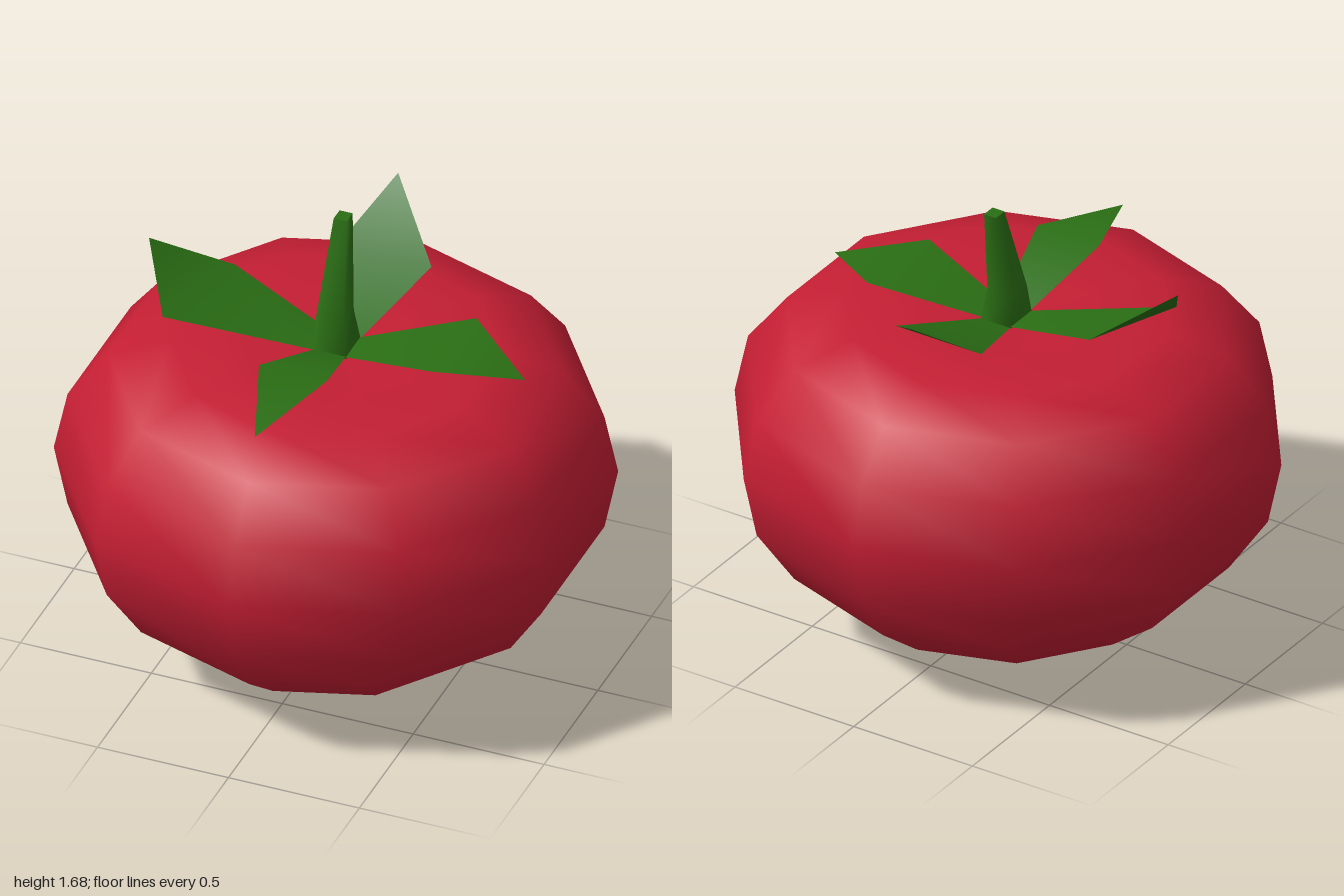
import * as THREE from 'three';

const red = new THREE.MeshStandardMaterial({ color: 0xc41e33 });
const green = new THREE.MeshStandardMaterial({ color: 0x2a6e14 });
const leafGreen = green.clone();
leafGreen.side = THREE.DoubleSide;

function indexedGeometry(points, index) {
  const geometry = new THREE.BufferGeometry();
  geometry.setAttribute('position', new THREE.Float32BufferAttribute(points.flat(), 3));
  geometry.setIndex(index);
  geometry.computeVertexNormals();
  return geometry;
}

function addMesh(group, name, geometry, material) {
  const mesh = new THREE.Mesh(geometry, material);
  mesh.name = name;
  group.add(mesh);
}

// Squashed ten-sided fruit with a flattened top
function fruitGeometry() {
  const heights = [0, 0.02, 0.11, 0.28, 0.49, 0.73, 0.96, 1.14, 1.215, 1.213, 1.2];
  const profile = heights.map((y, i) =>
    new THREE.Vector2(Math.abs(Math.sin((i * Math.PI) / 10)), y));
  return new THREE.LatheGeometry(profile, 10);
}

// Four-sided stalk skinned over rectangular sections [y, x0, x1, z0, z1]
function stemGeometry() {
  const sections = [
    [1.19, -0.07, 0.06, -0.09, 0.05],
    [1.33, -0.07, 0.035, -0.08, 0.015],
    [1.685, -0.05, 0.0, -0.155, -0.1],
  ];
  sections.push(sections[2]); // repeated ring keeps the cut end sharp
  const points = sections.flatMap(([y, x0, x1, z0, z1]) =>
    [[x0, y, z1], [x1, y, z1], [x1, y, z0], [x0, y, z0]]);
  const index = [];
  for (let s = 0; s < 2; s++) {
    for (let i = 0; i < 4; i++) {
      const a = s * 4 + i, b = s * 4 + ((i + 1) % 4);
      index.push(a, b, b + 4, a, b + 4, a + 4);
    }
  }
  index.push(12, 13, 14, 12, 14, 15);
  return indexedGeometry(points, index);
}

// Each leaf: base left, base right, middle left, middle right, tip
const leaves = {
  backLeaf: [[-0.06, 1.2, -0.07], [0.05, 1.2, -0.07], [-0.18, 1.315, -0.45], [0.18, 1.315, -0.45], [-0.05, 1.5, -0.7]],
  frontLeaf: [[0.055, 1.21, 0.04], [-0.065, 1.21, 0.04], [0.12, 1.335, 0.375], [-0.14, 1.335, 0.375], [-0.01, 1.285, 0.73]],
  leftLeaf: [[0.05, 1.21, -0.085], [0.055, 1.21, 0.045], [0.44, 1.3, -0.235], [0.42, 1.3, 0.135], [0.71, 1.235, -0.03]],
  rightLeaf: [[-0.065, 1.21, 0.045], [-0.065, 1.21, -0.09], [-0.58, 1.315, 0.2], [-0.46, 1.33, -0.18], [-0.71, 1.5, 0.01]],
};

export function createModel() {
  const model = new THREE.Group();
  model.name = 'tomato';
  addMesh(model, 'fruit', fruitGeometry(), red);
  addMesh(model, 'stem', stemGeometry(), green);
  for (const [name, points] of Object.entries(leaves)) {
    addMesh(model, name, indexedGeometry(points, [0, 1, 3, 0, 3, 2, 2, 3, 4]), leafGreen);
  }
  return model;
}
